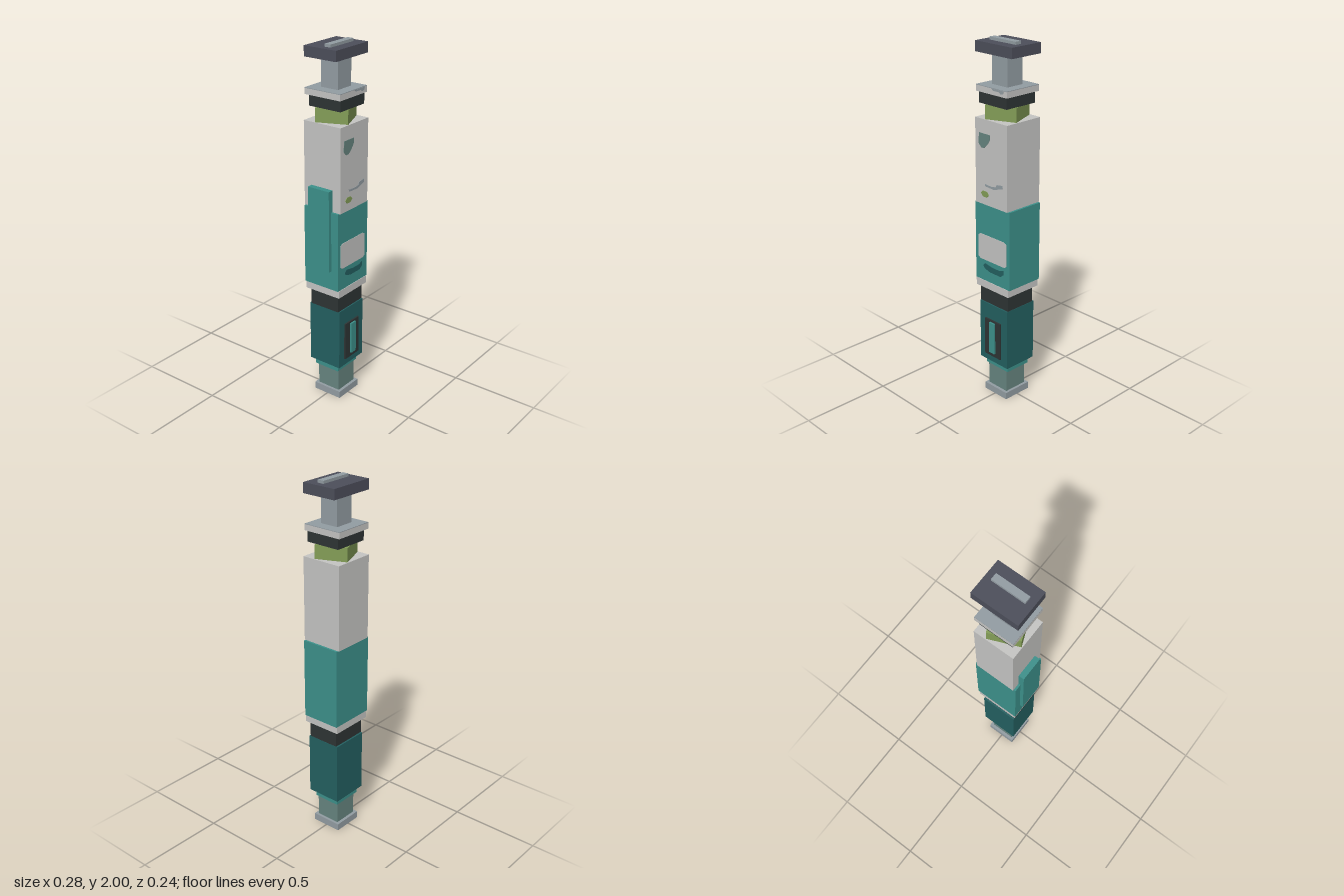
import * as THREE from 'three';

const mat = (name, color) => {
  const m = new THREE.MeshStandardMaterial({ color });
  m.name = name;
  return m;
};

export function createModel() {
  const group = new THREE.Group();
  const white = mat('offWhite', 0xc4c4c2);
  const teal = mat('teal', 0x3c908a);
  const darkTeal = mat('darkTeal', 0x235f60);
  const charcoal = mat('charcoal', 0x2e3434);
  const slate = mat('slate', 0x4c4e5a);
  const grey = mat('grey', 0x929ca2);
  const sage = mat('sage', 0x66847f);
  const green = mat('green', 0x829c56);

  const add = (name, geometry, material) => {
    const mesh = new THREE.Mesh(geometry, material);
    mesh.name = name;
    group.add(mesh);
    return mesh;
  };

  // Box given by its limits on each axis
  const box = (name, material, [x0, x1], [y0, y1], [z0, z1]) => {
    const mesh = add(name, new THREE.BoxGeometry(x1 - x0, y1 - y0, z1 - z0), material);
    mesh.position.set((x0 + x1) / 2, (y0 + y1) / 2, (z0 + z1) / 2);
    return mesh;
  };

  // Thin painted plate on a front face
  const decal = (name, material, z, points) => {
    const shape = new THREE.Shape(points.map(([x, y]) => new THREE.Vector2(x, y)));
    const mesh = add(name, new THREE.ExtrudeGeometry(shape, { depth: 0.002, bevelEnabled: false }), material);
    mesh.position.z = z;
  };

  // Lower end: foot, stem and grip
  box('foot', grey, [-0.08, 0.09], [0, 0.04], [-0.087, 0.087]);
  box('lowerStem', sage, [-0.065, 0.075], [0.04, 0.17], [-0.07, 0.07]);
  box('lowerCollar', teal, [-0.08, 0.09], [0.17, 0.21], [-0.08, 0.075]);
  box('lowerGrip', darkTeal, [-0.1, 0.112], [0.21, 0.56], [-0.1, 0.1]);
  box('buttonFrame', charcoal, [-0.055, 0.065], [0.25, 0.47], [0.1, 0.109]);
  box('button', teal, [-0.013, 0.027], [0.275, 0.46], [0.105, 0.119]);

  // Main barrel
  box('darkCollar', charcoal, [-0.102, 0.11], [0.56, 0.655], [-0.09, 0.093]);
  box('whiteRing', white, [-0.117, 0.129], [0.655, 0.697], [-0.113, 0.11]);
  box('tealBarrel', teal, [-0.122, 0.136], [0.697, 1.14], [-0.115, 0.107]);
  box('whiteBarrel', white, [-0.11, 0.124], [1.14, 1.6], [-0.121, 0.113]);
  box('clip', teal, [-0.142, -0.11], [0.805, 1.26], [-0.073, 0.063]);

  // Upper end: twisted neck, washers, stem and cap
  const neck = box('twistedNeck', green, [-0.08, 0.092], [1.6, 1.675], [-0.09, 0.082]);
  neck.rotation.y = 0.39;
  box('blackWasher', charcoal, [-0.093, 0.106], [1.675, 1.735], [-0.1, 0.099]);
  box('upperPlate', white, [-0.107, 0.117], [1.735, 1.767], [-0.117, 0.108]);
  box('upperPlateTop', grey, [-0.107, 0.117], [1.767, 1.77], [-0.117, 0.108]);
  box('upperStem', grey, [-0.05, 0.06], [1.77, 1.93], [-0.055, 0.05]);
  box('cap', slate, [-0.123, 0.138], [1.93, 1.985], [-0.104, 0.095]);
  box('capBar', grey, [-0.086, 0.101], [1.985, 2], [-0.004, 0.033]);

  // Painted marks on the front
  decal('sagePatch', sage, 0.113, [
    [-0.08, 1.525], [-0.085, 1.47], [-0.065, 1.448], [-0.045, 1.448],
    [-0.02, 1.47], [0, 1.5], [0, 1.525]]);
  decal('greySwoosh', grey, 0.113, [
    [-0.04, 1.255], [-0.035, 1.243], [0.03, 1.24], [0.06, 1.25], [0.09, 1.258],
    [0.092, 1.278], [0.05, 1.272], [0.04, 1.257], [0.01, 1.252]]);
  decal('greenSpot', green, 0.113, [
    [-0.07, 1.2], [-0.055, 1.183], [-0.025, 1.183], [-0.01, 1.2], [-0.025, 1.215], [-0.055, 1.215]]);
  decal('plateSmear', grey, 0.108, [
    [0.01, 1.767], [0.02, 1.757], [0.06, 1.757], [0.075, 1.748], [0.09, 1.752], [0.095, 1.767]]);
  decal('paleLabel', white, 0.107, [
    [-0.1, 0.83], [-0.085, 0.82], [0.1, 0.82], [0.112, 0.83],
    [0.112, 0.955], [0.095, 0.965], [-0.085, 0.965], [-0.1, 0.955]]);
  decal('darkSmudge', darkTeal, 0.107, [
    [-0.065, 0.785], [-0.05, 0.768], [-0.01, 0.758], [0.07, 0.758],
    [0.09, 0.775], [0.09, 0.8], [0.06, 0.79], [0.01, 0.79], [-0.05, 0.8]]);

  return group;
}
